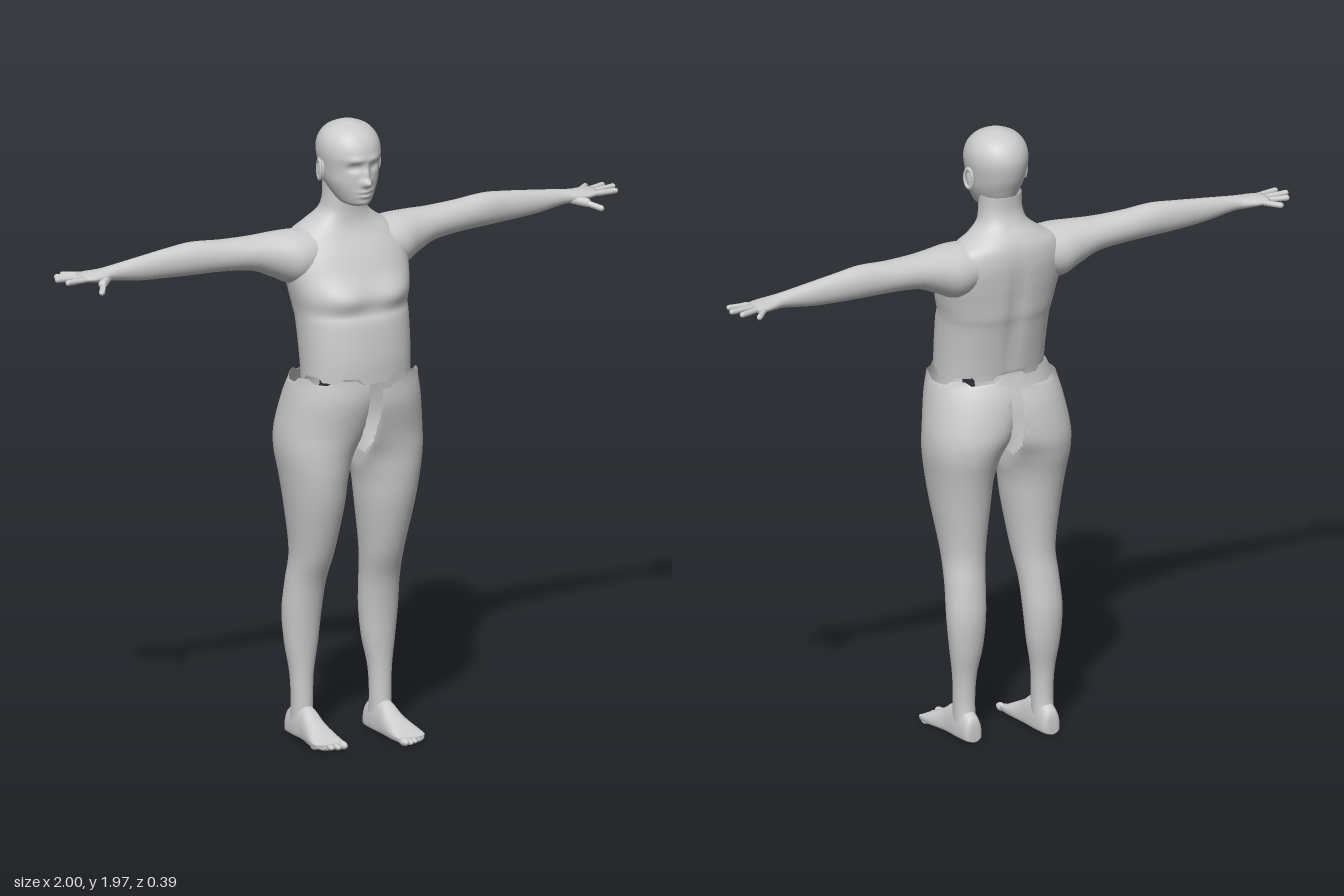
import * as THREE from 'three';

const material = new THREE.MeshStandardMaterial({ color: 0xcccccc, side: THREE.DoubleSide });

// Catmull-Rom interpolation through rows of numbers
function smoothRows(rows, steps) {
  const out = [], last = rows.length - 1;
  const at = (i) => rows[Math.min(last, Math.max(0, i))];
  for (let i = 0; i < last; i++) {
    for (let s = 0; s < steps; s++) {
      const t = s / steps, [a, b, c, d] = [at(i - 1), at(i), at(i + 1), at(i + 2)];
      out.push(b.map((v, k) => v + 0.5 * t * (c[k] - a[k]
        + t * (2 * a[k] - 5 * v + 4 * c[k] - d[k] + t * (3 * (v - c[k]) + d[k] - a[k])))));
    }
  }
  out.push(rows[last]);
  return out;
}

// Skin over cross-sections: point(row, angle, ringIndex) gives [x, y, z]
function loft(rows, segments, point, { capStart = false, capEnd = false, skip = null } = {}) {
  const pos = [], index = [], n = rows.length;
  rows.forEach((row, i) => {
    for (let j = 0; j < segments; j++) pos.push(...point(row, (j / segments) * Math.PI * 2, i));
  });
  const vertexAt = (k) => [pos[3 * k], pos[3 * k + 1], pos[3 * k + 2]];
  for (let i = 0; i < n - 1; i++) {
    for (let j = 0; j < segments; j++) {
      const k = (j + 1) % segments;
      const a = i * segments + j, b = a + segments, c = i * segments + k, d = c + segments;
      if (skip && skip([a, b, c, d].map(vertexAt))) continue;
      index.push(a, b, c, c, b, d);
    }
  }
  const cap = (ring, start) => {
    const center = [0, 0, 0], id = pos.length / 3;
    for (let j = 0; j < segments; j++) vertexAt(ring * segments + j).forEach((v, q) => { center[q] += v / segments; });
    pos.push(...center);
    for (let j = 0; j < segments; j++) {
      const a = ring * segments + j, b = ring * segments + ((j + 1) % segments);
      if (start) index.push(id, a, b); else index.push(id, b, a);
    }
  };
  if (capStart) cap(0, true);
  if (capEnd) cap(n - 1, false);
  const g = new THREE.BufferGeometry();
  g.setAttribute('position', new THREE.Float32BufferAttribute(pos, 3));
  g.setIndex(index);
  g.computeVertexNormals();
  return g;
}

// Mirror a geometry across x = 0, keeping faces outward
function mirrored(geometry) {
  const g = geometry.clone().scale(-1, 1, 1), ix = g.index.array;
  for (let i = 0; i < ix.length; i += 3) [ix[i + 1], ix[i + 2]] = [ix[i + 2], ix[i + 1]];
  g.computeVertexNormals();
  return g;
}

const power = (v, p) => Math.sign(v) * Math.abs(v) ** p;
const bump = (x, y, cx, cy, sx, sy) => Math.exp(-(((x - cx) / sx) ** 2) - ((y - cy) / sy) ** 2);
const jag = (a) => 0.008 * (Math.sin(a * 7) > 0 ? 1 : -1) + 0.004 * Math.sin(a * 3);

// Rounded stick between two points
function digit(from, to, r) {
  const a = new THREE.Vector3(...from), b = new THREE.Vector3(...to), dir = b.clone().sub(a);
  const g = new THREE.CapsuleGeometry(r, dir.length() - r, 4, 10);
  g.applyQuaternion(new THREE.Quaternion().setFromUnitVectors(new THREE.Vector3(0, 1, 0), dir.normalize()));
  const mid = a.add(b).multiplyScalar(0.5);
  return g.translate(mid.x, mid.y, mid.z);
}

function ellipsoid(x, y, z, rx, ry, rz) {
  return new THREE.SphereGeometry(1, 16, 12).scale(rx, ry, rz).translate(x, y, z);
}

// Torso and neck: y, half width, front z, back z
function torsoGeometry() {
  const rows = smoothRows([
    [1.182, 0.176, 0.157, -0.098], [1.25, 0.177, 0.157, -0.11], [1.35, 0.18, 0.145, -0.13],
    [1.39, 0.184, 0.127, -0.14], [1.44, 0.195, 0.121, -0.147], [1.5, 0.205, 0.097, -0.155],
    [1.56, 0.205, 0.067, -0.16], [1.61, 0.178, 0.035, -0.155], [1.645, 0.122, 0.02, -0.14],
    [1.68, 0.08, 0.016, -0.115], [1.72, 0.068, 0.018, -0.1], [1.77, 0.066, 0.02, -0.1]], 5);
  return loft(rows, 64, ([y, w, zf, zb], a, i) => {
    const s = Math.sin(a), x = w * power(Math.cos(a), 0.88);
    let z = (zf + zb) / 2 + (zf - zb) / 2 * power(s, 0.88);
    if (s > 0) z += 0.022 * (bump(x, y, 0.085, 1.435, 0.07, 0.045) + bump(x, y, -0.085, 1.435, 0.07, 0.045));
    else z += 0.012 * bump(x, y, 0, 1.38, 0.025, 0.18);
    return [x, i === 0 ? y + jag(a) : y, z];
  });
}

// Head: y, half width, front z, back z, with the face pushed in and out
function headGeometry() {
  const rows = smoothRows([
    [1.714, 0.028, 0.066, 0.0], [1.723, 0.045, 0.083, -0.04], [1.75, 0.063, 0.092, -0.08],
    [1.79, 0.081, 0.094, -0.102], [1.83, 0.089, 0.094, -0.118], [1.88, 0.096, 0.096, -0.126],
    [1.92, 0.088, 0.08, -0.114], [1.95, 0.063, 0.048, -0.084], [1.969, 0.018, 0.003, -0.036]], 8);
  return loft(rows, 96, ([y, w, zf, zb], a) => {
    const x = w * Math.cos(a), s = Math.sin(a);
    let z = (zf + zb) / 2 + (zf - zb) / 2 * s;
    if (s > 0) {
      const u = Math.abs(x);
      z += 0.026 * bump(x, y, 0, 1.793, 0.015, 0.013) + 0.013 * bump(x, y, 0, 1.82, 0.01, 0.02)
        - 0.013 * bump(u, y, 0.034, 1.842, 0.018, 0.012) + 0.006 * bump(u, y, 0.03, 1.866, 0.03, 0.009)
        + 0.008 * bump(x, y, 0, 1.764, 0.022, 0.007) + 0.007 * bump(x, y, 0, 1.75, 0.02, 0.006)
        - 0.005 * bump(x, y, 0, 1.757, 0.025, 0.003) + 0.004 * bump(x, y, 0, 1.726, 0.025, 0.01)
        + 0.004 * bump(u, y, 0.034, 1.842, 0.009, 0.006);
    }
    return [x, y, z];
  }, { capStart: true, capEnd: true });
}

// Arm down to the palm: x, centre y, centre z, half height, half depth
function armGeometry() {
  const rows = smoothRows([
    [0.1, 1.56, -0.05, 0.07, 0.08], [0.18, 1.55, -0.052, 0.085, 0.092], [0.25, 1.564, -0.06, 0.07, 0.073],
    [0.32, 1.577, -0.066, 0.054, 0.059], [0.42, 1.583, -0.073, 0.05, 0.049], [0.52, 1.588, -0.077, 0.052, 0.042],
    [0.6, 1.586, -0.08, 0.047, 0.035], [0.7, 1.583, -0.08, 0.038, 0.029], [0.8, 1.584, -0.08, 0.024, 0.026],
    [0.84, 1.582, -0.08, 0.02, 0.034], [0.88, 1.582, -0.085, 0.016, 0.042], [0.915, 1.583, -0.09, 0.011, 0.039]], 4);
  return loft(rows, 32, ([x, cy, cz, h, d], a) => [x, cy + h * Math.cos(a), cz - d * Math.sin(a)],
    { capStart: true, capEnd: true });
}

// Leg with half of the hips, open at the waist and the midline: y, centre x, half width, front z, back z
function legGeometry() {
  const rows = smoothRows([
    [0.03, 0.12, 0.034, 0.015, -0.08], [0.1, 0.12, 0.033, 0.012, -0.062], [0.2, 0.12, 0.037, 0.01, -0.065],
    [0.3, 0.118, 0.053, 0.015, -0.083], [0.4, 0.117, 0.062, 0.025, -0.09], [0.5, 0.112, 0.063, 0.045, -0.08],
    [0.6, 0.105, 0.067, 0.085, -0.07], [0.75, 0.106, 0.087, 0.13, -0.085], [0.85, 0.108, 0.1, 0.148, -0.102],
    [0.93, 0.1, 0.12, 0.155, -0.122], [1.0, 0.07, 0.149, 0.165, -0.132], [1.1, 0.03, 0.174, 0.188, -0.118],
    [1.168, 0.0, 0.19, 0.19, -0.092]], 5);
  const end = rows.length - 1;
  return loft(rows, 48, ([y, cx, w, zf, zb], a, i) => [
    Math.max(0.003, cx + w * Math.cos(a)),
    i === end ? y + jag(a) : y,
    (zf + zb) / 2 + (zf - zb) / 2 * power(Math.sin(a), 0.92),
  ], { capStart: true, skip: (q) => q.every(([x, y]) => x < 0.0031 && y > 0.92) });
}

// Foot from heel to ball: z, centre x, half width, height
function footGeometry() {
  const rows = smoothRows([
    [-0.09, 0.12, 0.014, 0.045], [-0.08, 0.12, 0.03, 0.08], [-0.03, 0.12, 0.036, 0.105],
    [0.02, 0.12, 0.037, 0.1], [0.06, 0.122, 0.042, 0.073], [0.11, 0.126, 0.05, 0.048],
    [0.145, 0.127, 0.05, 0.03], [0.16, 0.123, 0.043, 0.02]], 4);
  return loft(rows, 28, ([z, cx, w, h], a) => {
    const c = Math.cos(a);
    return [cx + w * power(Math.sin(a), 0.8), c > 0 ? 0.022 + (h - 0.022) * c : 0.022 - 0.02 * power(-c, 0.5), z];
  }, { capStart: true, capEnd: true });
}

export function createModel() {
  const model = new THREE.Group();
  model.name = 'figure';
  const add = (parent, name, geometry) => {
    const mesh = new THREE.Mesh(geometry, material);
    mesh.name = name;
    parent.add(mesh);
  };
  add(model, 'torso', torsoGeometry());
  add(model, 'head', headGeometry());

  // Fingers: base z, tip x, tip y, tip z
  const fingers = [[-0.12, 0.935, 1.578, -0.163], [-0.104, 0.977, 1.584, -0.128],
    [-0.083, 0.994, 1.586, -0.093], [-0.062, 0.98, 1.584, -0.052]];

  for (const [side, flip] of [['left', (g) => g], ['right', mirrored]]) {
    // Ear
    const ear = new THREE.Group();
    ear.name = side + 'Ear';
    add(ear, 'earBody', flip(ellipsoid(0.094, 1.822, -0.018, 0.009, 0.032, 0.018)));
    add(ear, 'earRim', flip(new THREE.TorusGeometry(0.02, 0.005, 8, 24).scale(0.9, 1.5, 1)
      .rotateY(Math.PI / 2 + 0.25).translate(0.1, 1.824, -0.02)));
    model.add(ear);

    // Arm and hand
    const arm = new THREE.Group();
    arm.name = side + 'Arm';
    add(arm, 'arm', flip(armGeometry()));
    fingers.forEach(([z, tx, ty, tz]) => add(arm, 'finger', flip(digit([0.89, 1.582, z], [tx, ty, tz], 0.009))));
    add(arm, 'thumbBase', flip(digit([0.825, 1.576, -0.07], [0.868, 1.566, -0.03], 0.014)));
    add(arm, 'thumb', flip(digit([0.86, 1.567, -0.035], [0.893, 1.554, 0.01], 0.0095)));
    model.add(arm);

    // Leg and foot, the right one set back
    const leg = new THREE.Group();
    leg.name = side + 'Leg';
    add(leg, 'leg', flip(legGeometry()));
    add(leg, 'foot', flip(footGeometry()));
    for (let i = 0; i < 5; i++) {
      const r = i === 0 ? 0.013 : 0.0098 - i * 0.0004;
      add(leg, 'toe', flip(ellipsoid(0.09 + i * 0.0195, r + 0.001, 0.168 - 0.0025 * i * i, r, r, 0.023 - i * 0.0015)));
    }
    leg.position.z = side === 'right' ? -0.065 : 0;
    model.add(leg);
  }
  return model;
}
